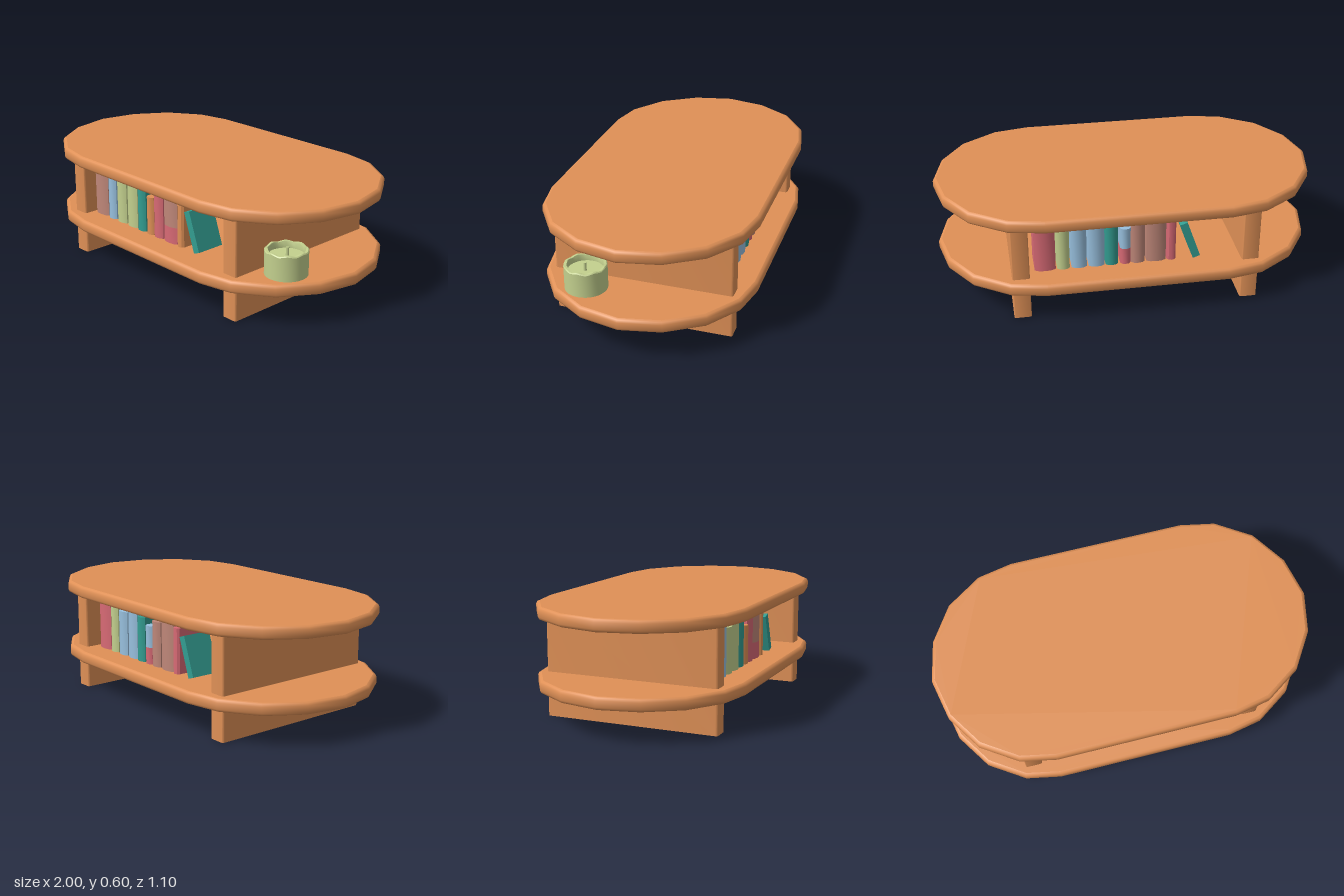
import * as THREE from 'three';
import { toCreasedNormals } from 'three/addons/utils/BufferGeometryUtils.js';

const mat = (name, color, side = THREE.FrontSide) => {
  const m = new THREE.MeshStandardMaterial({ color, side });
  m.name = name;
  return m;
};

const SHELF = 0.233; // top of the lower board
const TOP = 0.6;     // top of the table

export function createModel() {
  const wood = mat('wood', 0xdf9056, THREE.DoubleSide);
  const blue = mat('blue', 0x98c0de);
  const green = mat('green', 0xc3d08e);
  const teal = mat('teal', 0x339d91);
  const pink = mat('pink', 0xd86a75);
  const mauve = mat('mauve', 0xbf8779);

  const model = new THREE.Group();
  model.name = 'coffeeTable';

  const add = (parent, name, geometry, material, x = 0, y = 0, z = 0) => {
    const mesh = new THREE.Mesh(geometry, material);
    mesh.name = name;
    mesh.position.set(x, y, z);
    parent.add(mesh);
    return mesh;
  };

  // Upright prism standing on y = 0
  const prism = (shape, height) => {
    const g = new THREE.ExtrudeGeometry(shape, { depth: height, bevelEnabled: false, curveSegments: 4 });
    return toCreasedNormals(g.rotateX(-Math.PI / 2), 0.6);
  };

  // Boards: faceted oval outline mirrored from one quarter, as [x, z]
  const quarter = [[1, 0], [0.955, 0.21], [0.835, 0.393], [0.652, 0.514], [0.468, 0.55]];
  const half = [...quarter, ...quarter.slice(1).reverse().map(([x, z]) => [-x, z])];
  const outline = [...half, ...half.map(([x, z]) => [-x, -z])];
  const inset = (amount) => outline.map(([x, z]) => {
    const cx = THREE.MathUtils.clamp(x, -0.468, 0.468);
    const k = 1 - amount / Math.hypot(x - cx, z);
    return [cx + (x - cx) * k, z * k];
  });

  // Rounded rim, as [inset, depth below the surface]; the underside stays open
  const rimProfile = [[0.018, 0], [0.006, 0.005], [0, 0.017], [0, 0.049], [0.006, 0.061], [0.018, 0.066]];
  const n = outline.length;
  const positions = rimProfile.flatMap(([o, y]) => inset(o).flatMap(([x, z]) => [x, -y, z]));
  const faces = [];
  for (let j = 0; j < rimProfile.length - 1; j++)
    for (let i = 0; i < n; i++) {
      const a = j * n + i, b = j * n + (i + 1) % n;
      faces.push(a, b, a + n, b, b + n, a + n);
    }
  const rimBase = new THREE.BufferGeometry();
  rimBase.setAttribute('position', new THREE.Float32BufferAttribute(positions, 3));
  rimBase.setIndex(faces);
  const rim = toCreasedNormals(rimBase, 0.95);
  const surface = new THREE.ShapeGeometry(
    new THREE.Shape(inset(0.018).map(([x, z]) => new THREE.Vector2(x, z)))).rotateX(-Math.PI / 2);

  for (const [name, y] of [['tableTop', TOP], ['lowerShelf', SHELF]]) {
    const board = new THREE.Group();
    board.name = name;
    board.position.y = y;
    add(board, 'boardSurface', surface, wood);
    add(board, 'boardRim', rim, wood);
    model.add(board);
  }

  // Legs: full-depth panels with softened vertical corners
  const w = 0.045, d = 0.467, r = 0.012;
  const panel = new THREE.Shape();
  panel.moveTo(-w + r, -d).lineTo(w - r, -d);
  panel.quadraticCurveTo(w, -d, w, -d + r).lineTo(w, d - r);
  panel.quadraticCurveTo(w, d, w - r, d).lineTo(-w + r, d);
  panel.quadraticCurveTo(-w, d, -w, d - r).lineTo(-w, -d + r);
  panel.quadraticCurveTo(-w, -d, -w + r, -d);
  const leg = prism(panel, TOP - 0.003);
  for (const side of [-1, 1])
    add(model, side > 0 ? 'leftLeg' : 'rightLeg', leg, wood, side * 0.595, 0, 0);

  // Book block with a rounded spine facing +z
  const bookBlock = (width, height) => {
    const h = width / 2, back = 0.08, front = -0.065; // shape y is -z
    const s = new THREE.Shape();
    s.moveTo(-h, back).lineTo(-h, front);
    s.bezierCurveTo(-h * 0.7, front - 0.02, h * 0.7, front - 0.02, h, front);
    s.lineTo(h, back).lineTo(-h, back);
    return prism(s, height);
  };

  // Left edge, right edge and top of each standing book
  const slots = [
    [-0.54, -0.432, 0.515], [-0.425, -0.36, 0.498], [-0.35, -0.272, 0.474],
    [-0.262, -0.18, 0.498], [-0.174, -0.11, 0.474], [-0.098, -0.044, 0.44],
    [-0.042, 0.03, 0.474], [0.038, 0.14, 0.498], [0.145, 0.192, 0.474],
  ];

  const bookRow = (name, colors, bands) => {
    const row = new THREE.Group();
    row.name = name;
    slots.forEach(([x0, x1, top], i) => {
      const book = new THREE.Group();
      book.name = 'book';
      book.position.set((x0 + x1) / 2, SHELF, 0.33);
      const width = x1 - x0, height = top - SHELF;
      const band = bands[i] ? 0.09 : 0;
      if (band) add(book, 'lowerCover', bookBlock(width, band), bands[i]);
      add(book, 'cover', bookBlock(width, height - band), colors[i], 0, band, 0);
      // Page edge plate on the side away from the spine
      add(book, 'pageEdge', new THREE.BoxGeometry(width * 0.75, height * 0.75, 0.004), wood,
        0, height * 0.4, -0.081);
      row.add(book);
    });
    // Last book leans on the row
    const leaning = add(row, 'leaningBook',
      new THREE.BoxGeometry(0.04, 0.215, 0.16).translate(0.02, 0.1075, 0), teal, 0.282, SHELF, 0.33);
    leaning.rotation.z = 0.34;
    model.add(row);
    return row;
  };

  bookRow('frontBooks', [mauve, blue, green, green, teal, wood, pink, mauve, wood], { 7: pink });
  const backRow = bookRow('backBooks', [pink, green, blue, blue, teal, blue, mauve, mauve, pink], { 5: pink });
  backRow.rotation.y = Math.PI;
  backRow.position.x = -0.02;

  // Candle pot: hollow body with a gently waved rim, wax surface and wick
  const pot = new THREE.Group();
  pot.name = 'candlePot';
  pot.position.set(0.765, SHELF, 0.248);
  const profile = [[0, 0], [0.108, 0], [0.108, 0.128], [0.104, 0.133],
    [0.092, 0.133], [0.09, 0.128], [0.09, 0.095], [0, 0.095]];
  const lathe = new THREE.LatheGeometry(profile.map(([x, y]) => new THREE.Vector2(x, y)), 32);
  const p = lathe.attributes.position;
  for (let i = 0; i < p.count; i++)
    if (p.getY(i) > 0.12)
      p.setY(i, p.getY(i) - 0.004 * (1 - Math.cos(8 * Math.atan2(p.getZ(i), p.getX(i)))));
  add(pot, 'potBody', toCreasedNormals(lathe, 0.6), green);
  add(pot, 'wick', new THREE.CylinderGeometry(0.008, 0.008, 0.045, 8), green, 0.005, 0.116, 0);
  model.add(pot);

  return model;
}
